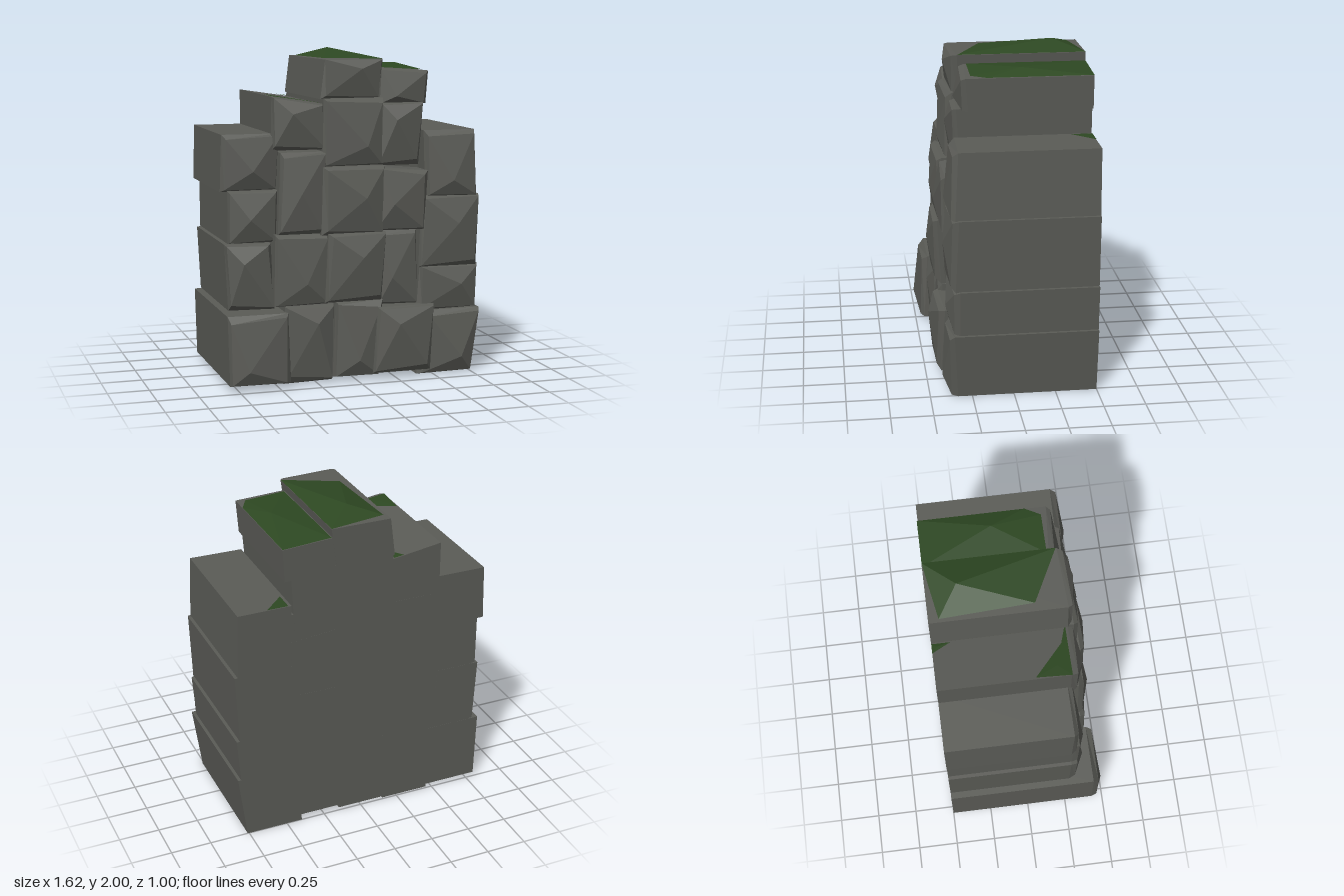
import * as THREE from 'three';

const BACK = -0.5;

function flatGeometry(triangles) {
  const geometry = new THREE.BufferGeometry();
  geometry.setAttribute('position', new THREE.Float32BufferAttribute(triangles.flat(2), 3));
  geometry.computeVertexNormals();
  return geometry;
}

// Long block with a leaning outline, a chipped rim and a peaked front.
// lean shifts the top edge sideways, tilt lowers its right end.
function stoneGeometry(seed, left, right, bottom, top, lean, edge, tilt = 0) {
  const outline = [[left, bottom], [right, bottom], [right + lean, top - tilt], [left + lean, top]];
  const peak = [
    THREE.MathUtils.lerp(left, right, 0.5 - 0.2 * Math.cos(seed * 2.4)) + lean / 2,
    THREE.MathUtils.lerp(bottom, top, 0.5 - 0.28 * Math.cos(seed * 3)),
    edge + 0.07,
  ];
  const back = outline.map(([x, y]) => [x, y, BACK]);
  const rim = outline.map(([x, y], i) => [x, y, edge + 0.015 * Math.sin(seed * 2.3 + i * 1.9)]);
  const bevel = rim.map(([x, y, z], i) => {
    const t = 0.09 + 0.04 * Math.sin(seed * 1.7 + i * 2.6);
    return [x + (peak[0] - x) * t, y + (peak[1] - y) * t, z + (peak[2] - z) * 0.45];
  });
  const triangles = [[back[0], back[2], back[1]], [back[0], back[3], back[2]]];
  for (let i = 0; i < 4; i++) {
    const j = (i + 1) % 4;
    for (const [a, b] of [[back, rim], [rim, bevel]]) {
      triangles.push([a[i], a[j], b[j]], [a[i], b[j], b[i]]);
    }
    triangles.push([bevel[i], bevel[j], peak]);
  }
  return flatGeometry(triangles);
}

export function createModel() {
  const model = new THREE.Group();
  model.name = 'stoneWall';
  const stone = new THREE.MeshStandardMaterial({ color: 0x5a5b56 });
  stone.name = 'grey stone';
  const moss = new THREE.MeshStandardMaterial({ color: 0x2d4822, side: THREE.DoubleSide });
  moss.name = 'green moss';

  const add = (name, geometry, material) => {
    const mesh = new THREE.Mesh(geometry, material);
    mesh.name = name;
    model.add(mesh);
    return mesh;
  };

  // One row of stones: left, right, bottom, top, lean, edge depth, tilt
  let seed = 0;
  const addCourse = (name, ...stones) => {
    stones.forEach((size, i) => add(`${name}Stone${i + 1}`, stoneGeometry(seed++, ...size), stone));
  };
  addCourse('base',
    [-0.8, -0.43, 0.03, 0.45, -0.01, 0.43],
    [-0.46, -0.15, 0.01, 0.48, 0.01, 0.37],
    [-0.14, 0.15, 0.02, 0.49, 0.02, 0.36],
    [0.1, 0.47, 0.04, 0.445, 0.03, 0.4],
    [0.4, 0.76, 0, 0.4, 0.05, 0.35]);
  addCourse('second',
    [-0.77, -0.49, 0.455, 0.855, -0.02, 0.28],
    [-0.51, -0.17, 0.48, 0.91, 0.01, 0.35],
    [-0.2, 0.16, 0.49, 0.91, 0.02, 0.39],
    [0.16, 0.42, 0.44, 0.905, -0.01, 0.3],
    [0.4, 0.79, 0.4, 0.675, 0.02, 0.33]);
  addCourse('third',
    [-0.77, -0.47, 0.86, 1.175, 0, 0.28],
    [-0.48, -0.2, 0.91, 1.4, 0.02, 0.34],
    [-0.22, 0.17, 0.9, 1.31, 0.01, 0.37],
    [0.12, 0.44, 0.91, 1.3, 0.02, 0.36, 0.03],
    [0.41, 0.79, 0.67, 1.11, 0.02, 0.34]);
  addCourse('fourth',
    [-0.81, -0.46, 1.17, 1.51, 0.01, 0.25],
    [-0.5, -0.17, 1.41, 1.73, 0, 0.29, 0.05],
    [-0.2, 0.18, 1.31, 1.715, 0.01, 0.32],
    [0.16, 0.43, 1.3, 1.68, 0.02, 0.29],
    [0.46, 0.79, 1.105, 1.51, -0.01, 0.33]);
  addCourse('crown',
    [-0.2, 0.17, 1.71, 1.945, 0.03, 0.28],
    [0.18, 0.49, 1.67, 1.89, 0.01, 0.24, 0.02]);

  // Solid fill behind the joints
  const addCore = (name, width, bottom, top, x) => {
    const core = add(name, new THREE.BoxGeometry(width, top - bottom, 0.7), stone);
    core.position.set(x, (bottom + top) / 2, -0.149);
  };
  addCore('lowerCore', 1.5, 0.05, 1.45, 0);
  addCore('upperCore', 0.8, 1.4, 1.66, 0);
  addCore('crownCore', 0.3, 1.6, 1.86, 0.16);

  // Moss sheet: a ring of x, z points laid on a sloping top, fanned around a raised centre
  const addMoss = (name, y, slope, centre, ring) => {
    const points = ring.map(([x, z]) => [x, y + slope * x, z]);
    const triangles = points.map((p, i) => [centre, p, points[(i + 1) % points.length]]);
    add(name, flatGeometry(triangles), moss);
  };
  addMoss('crownMossLeft', 1.947, 0, [0.03, 2, -0.32],
    [[-0.15, -0.44], [-0.12, 0.11], [0.2, 0.27], [0.2, BACK]]);
  addMoss('crownMossRight', 1.906, -0.065, [0.4, 1.91, -0.08],
    [[0.2, BACK], [0.2, 0.22], [0.45, 0.22], [0.5, 0.13], [0.5, BACK]]);
  addMoss('ledgeMossLeft', 1.659, -0.15, [-0.43, 1.726, 0.2],
    [[-0.49, 0.07], [-0.5, 0.28], [-0.17, 0.28], [-0.27, 0.26]]);
  addMoss('ledgeMossBack', 1.659, -0.15, [-0.22, 1.694, -0.47],
    [[-0.26, BACK], [-0.2, -0.39], [-0.2, BACK]]);
  addMoss('ledgeMossRight', 1.514, 0, [0.52, 1.515, -0.46],
    [[0.47, BACK], [0.47, -0.37], [0.6, BACK]]);

  return model;
}
